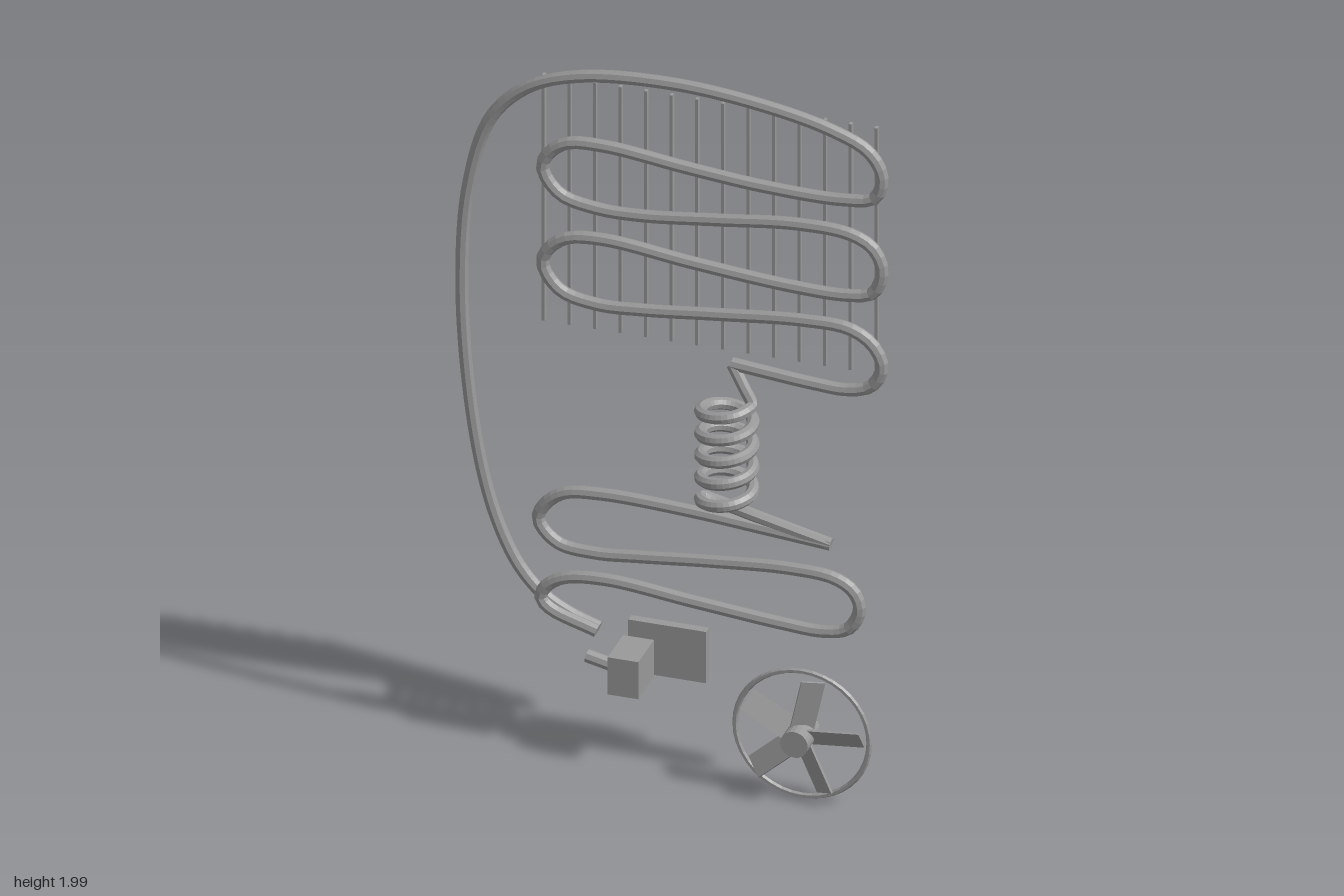
import * as THREE from 'three';

const steel = new THREE.MeshStandardMaterial({ color: 0x999999, flatShading: true, side: THREE.DoubleSide });
steel.name = 'grey steel';

const TUBE = 0.0175;

function add(parent, name, geometry, x = 0, y = 0, z = 0) {
  const mesh = new THREE.Mesh(geometry, steel);
  mesh.name = name;
  mesh.position.set(x, y, z);
  parent.add(mesh);
  return mesh;
}

// Round pipe through a list of points, closed at both ends
function pipe(parent, name, points, segments, radius = TUBE) {
  const group = new THREE.Group();
  group.name = name;
  const curve = new THREE.CatmullRomCurve3(points, false, 'centripetal');
  curve.arcLengthDivisions = 1500;
  add(group, name + 'Tube', new THREE.TubeGeometry(curve, segments, radius, 8, false));
  for (const t of [0, 1]) {
    const p = curve.getPointAt(t);
    const dir = curve.getTangentAt(t).multiplyScalar(t ? 1 : -1);
    const cap = add(group, name + 'End', new THREE.CircleGeometry(radius, 8), p.x, p.y, p.z);
    cap.quaternion.setFromUnitVectors(new THREE.Vector3(0, 0, 1), dir);
  }
  parent.add(group);
}

const flat = (pairs, z) => pairs.map(([x, y]) => new THREE.Vector3(x, y, z));

export function createModel() {
  const model = new THREE.Group();
  model.name = 'coolingCircuit';

  // Return line sweeping up and over, then the upper serpentine
  pipe(model, 'condenserPipe', flat([
    [-0.195, 0.378], [-0.27, 0.405], [-0.34, 0.445], [-0.405, 0.515], [-0.455, 0.61], [-0.5, 0.75],
    [-0.54, 0.98], [-0.562, 1.3], [-0.545, 1.59], [-0.485, 1.8], [-0.39, 1.903], [-0.25, 1.96],
    [0, 1.982], [0.25, 1.96], [0.43, 1.92], [0.525, 1.875], [0.56, 1.81], [0.54, 1.745], [0.46, 1.727],
    [0.25, 1.728], [0.05, 1.745], [-0.18, 1.77], [-0.28, 1.762], [-0.33, 1.725], [-0.347, 1.68],
    [-0.3, 1.612], [-0.2, 1.587], [-0.08, 1.587], [0.12, 1.61], [0.33, 1.635], [0.475, 1.63],
    [0.535, 1.6], [0.56, 1.54], [0.535, 1.47], [0.47, 1.453], [0.32, 1.453], [0.06, 1.474],
    [-0.18, 1.5], [-0.28, 1.488], [-0.33, 1.45], [-0.347, 1.405], [-0.3, 1.335], [-0.2, 1.31],
    [-0.08, 1.315], [0.12, 1.337], [0.35, 1.36], [0.475, 1.356], [0.535, 1.32], [0.56, 1.26],
    [0.53, 1.2], [0.47, 1.18], [0.38, 1.182], [0.16, 1.202],
  ], -0.006), 300);

  // Capillary coil with its lead-in and exit
  const coil = [new THREE.Vector3(0.16, 1.2, -0.006), new THREE.Vector3(0.195, 1.145, 0.006)];
  const turns = 4.5, steps = 72;
  for (let i = 0; i <= steps; i++) {
    const a = (i / steps) * turns * Math.PI * 2;
    coil.push(new THREE.Vector3(0.152 + 0.067 * Math.cos(a), 1.103 - 0.286 * i / steps, 0.014 + 0.067 * Math.sin(a)));
  }
  coil.push(new THREE.Vector3(0.12, 0.806, 0.006), new THREE.Vector3(0.2, 0.79, 0.012), new THREE.Vector3(0.43, 0.737, 0.014));
  pipe(model, 'capillaryCoil', coil, 180, 0.0165);

  // Lower serpentine, joining the return line
  pipe(model, 'evaporatorPipe', flat([
    [0.43, 0.737], [0.25, 0.752], [0.05, 0.768], [-0.18, 0.775], [-0.28, 0.762], [-0.33, 0.725],
    [-0.352, 0.675], [-0.3, 0.615], [-0.2, 0.602], [-0.08, 0.612], [0.12, 0.633], [0.32, 0.648],
    [0.44, 0.64], [0.49, 0.61], [0.506, 0.56], [0.475, 0.5], [0.41, 0.482], [0.3, 0.486],
    [0.06, 0.508], [-0.17, 0.53], [-0.28, 0.517], [-0.33, 0.485], [-0.345, 0.45], [-0.32, 0.422], [-0.195, 0.378],
  ], 0.013), 150);

  // Row of thin vertical fins behind the condenser
  const fins = new THREE.Group();
  fins.name = 'coolingFins';
  model.add(fins);
  for (let i = 0; i < 14; i++) {
    add(fins, 'fin', new THREE.BoxGeometry(0.008, 0.71, 0.013), -0.354 + i * 0.0683, 1.577, -0.04);
  }

  // Compressor block, back plate and outlet spout
  add(model, 'compressorBlock', new THREE.BoxGeometry(0.082, 0.107, 0.124), -0.112, 0.276, -0.009);
  add(model, 'backPlate', new THREE.BoxGeometry(0.208, 0.148, 0.025), -0.039, 0.297, -0.093);
  const spout = add(model, 'outletSpout', new THREE.CylinderGeometry(0.018, 0.018, 0.08, 8), -0.187, 0.286, 0);
  spout.rotation.z = Math.PI / 2 - 0.22;

  // Fan: guard ring, hub and five pitched blades
  const fan = new THREE.Group();
  fan.name = 'fan';
  fan.position.set(0.361, 0.192, 0);
  model.add(fan);
  add(fan, 'guardRing', new THREE.TorusGeometry(0.179, 0.0075, 6, 40), 0, 0, 0.037);
  add(fan, 'hub', new THREE.CylinderGeometry(0.037, 0.037, 0.098, 20), 0, 0, 0.054).rotation.x = Math.PI / 2;
  for (let i = 0; i < 5; i++) {
    const arm = new THREE.Group();
    arm.name = 'bladeArm';
    arm.rotation.z = 0.1 + (i * Math.PI * 2) / 5;
    fan.add(arm);
    add(arm, 'blade', new THREE.BoxGeometry(0.14, 0.063, 0.006), 0.095, 0, 0.054).rotation.x = 0.55;
  }
  return model;
}
